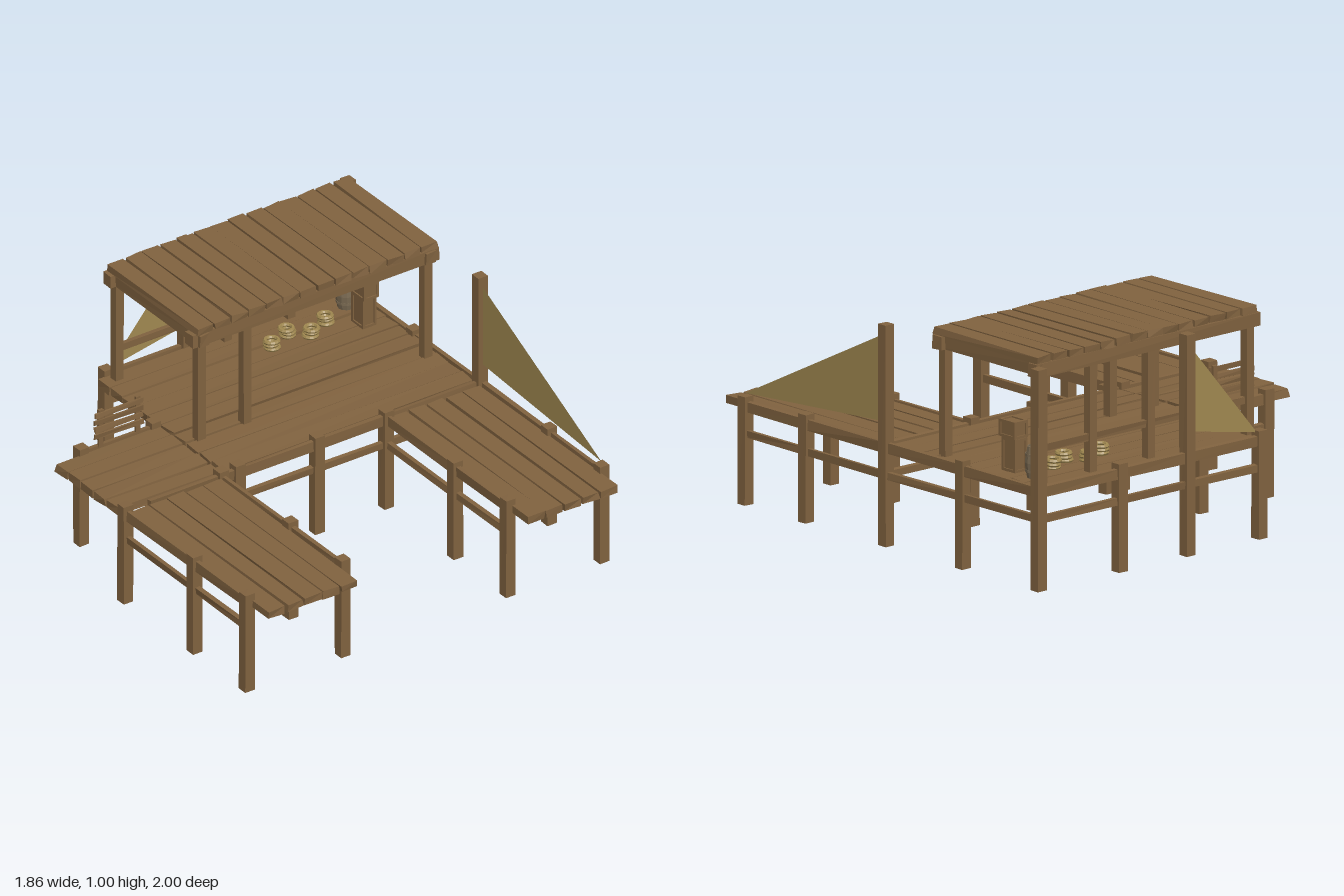
import * as THREE from 'three';

const wood = new THREE.MeshStandardMaterial({ color: 0x80623f, flatShading: true });
const barrelWood = new THREE.MeshStandardMaterial({ color: 0x7a6a52, flatShading: true });
const rope = new THREE.MeshStandardMaterial({ color: 0xa08850, flatShading: true });
const cloth = new THREE.MeshStandardMaterial({ color: 0xa08850, flatShading: true, side: THREE.DoubleSide });

export function createModel() {
  const model = new THREE.Group();

  let seed = 7;
  const rand = () => {
    seed = (seed * 16807) % 2147483647;
    return (seed / 2147483647) * 2 - 1;
  };

  const group = (name) => {
    const g = new THREE.Group();
    g.name = name;
    model.add(g);
    return g;
  };

  // Rough-sawn box: each of the eight corners is nudged a little
  function bar(parent, name, [x, y, z], [w, h, d], rough = 0.003) {
    const geo = new THREE.BoxGeometry(w, h, d);
    const nudges = Array.from({ length: 8 }, () => [rand() * rough, rand() * rough * 0.7, rand() * rough]);
    const p = geo.attributes.position;
    for (let i = 0; i < p.count; i++) {
      const n = nudges[(p.getX(i) > 0 ? 1 : 0) + (p.getY(i) > 0 ? 2 : 0) + (p.getZ(i) > 0 ? 4 : 0)];
      p.setXYZ(i, p.getX(i) + n[0], p.getY(i) + n[1], p.getZ(i) + n[2]);
    }
    geo.computeVertexNormals();
    const mesh = new THREE.Mesh(geo, wood);
    mesh.name = name;
    mesh.position.set(x, y, z);
    parent.add(mesh);
    return mesh;
  }

  // Row of boards filling a rectangle, running along x or z
  function planks(parent, along, count, [x0, x1], [z0, z1], y, thick) {
    const alongX = along === 'x';
    const pitch = (alongX ? z1 - z0 : x1 - x0) / count;
    for (let i = 0; i < count; i++) {
      const c = (alongX ? z0 : x0) + (i + 0.5) * pitch;
      const width = pitch - 0.009;
      const yy = y + rand() * 0.002;
      if (alongX) bar(parent, 'plank', [(x0 + x1) / 2, yy, c], [x1 - x0, thick, width], 0.005);
      else bar(parent, 'plank', [c, yy, (z0 + z1) / 2], [width, thick, z1 - z0], 0.005);
    }
  }

  // Decks and piers
  planks(group('mainDeck'), 'x', 10, [-0.39, 0.89], [-0.96, -0.04], 0.424, 0.036);
  planks(group('sideDeck'), 'x', 5, [-0.93, -0.405], [-0.5, -0.04], 0.424, 0.036);
  planks(group('leftPier'), 'z', 5, [0.43, 0.893], [0, 1], 0.422, 0.034);
  planks(group('rightPier'), 'z', 5, [-0.9, -0.437], [0, 1], 0.422, 0.034);

  // Piles, two of them tall enough to carry sails, one at the back corner
  const piles = group('piles');
  const pile = (x, z, top = 0.47) => bar(piles, 'pile', [x, top / 2, z], [0.048, top, 0.048], 0.001);
  for (const x of [-0.91, -0.42, 0.425, 0.905]) {
    for (const z of [0.86, 0.48]) pile(x, z);
    pile(x, -0.02, x === 0.905 ? 0.96 : 0.47);
  }
  for (const x of [-0.335, 0.07]) pile(x, -0.02);
  for (const x of [-0.79, -0.42]) pile(x, -0.51);
  pile(0.905, -0.5);
  for (const x of [-0.335, 0.45]) pile(x, -0.975);
  for (const x of [0.07, 0.905]) pile(x, -0.975, 0.96);

  // Edge beams and lower braces, span by span between piles
  const beams = group('beams');
  function spans(along, stops, fixed) {
    for (let i = 0; i < stops.length - 1; i++) {
      const mid = (stops[i] + stops[i + 1]) / 2, len = Math.abs(stops[i + 1] - stops[i]);
      for (const [name, y, h] of [['edgeBeam', 0.425, 0.046], ['lowerBrace', 0.307, 0.032]]) {
        if (along === 'x') bar(beams, name, [mid, y, fixed], [len, h, 0.02]);
        else bar(beams, name, [fixed, y, mid], [0.02, h, len]);
      }
    }
  }
  for (const x of [-0.91, -0.42, 0.425]) spans('z', [0.86, 0.48, -0.02], x);
  spans('z', [0.86, 0.48, -0.02, -0.5, -0.975], 0.908);
  spans('x', [-0.79, -0.335, 0.07, 0.425, 0.905], -0.02);
  spans('x', [-0.335, 0.07, 0.45, 0.905], -0.978);
  spans('x', [-0.79, -0.42], -0.512);

  // Shelter: posts, roof frame, back rail and roof boards
  const shelter = group('shelter');
  const roofPost = (x, z) => bar(shelter, 'roofPost', [x, 0.67, z], [0.04, 0.5, 0.04], 0.001);
  for (const x of [-0.32, -0.085, 0.84]) roofPost(x, -0.32);
  for (const x of [-0.32, 0.235, 0.56, 0.84]) roofPost(x, -0.915);
  for (const z of [-0.32, -0.915]) bar(shelter, 'roofBeam', [0.26, 0.936, z], [1.26, 0.058, 0.055]);
  for (const x of [-0.32, 0.84]) bar(shelter, 'roofSideBeam', [x, 0.936, -0.61], [0.05, 0.055, 0.66]);
  bar(shelter, 'backRail', [0.26, 0.592, -0.915], [1.16, 0.032, 0.02]);
  planks(shelter, 'z', 14, [-0.355, 0.885], [-0.94, -0.29], 0.981, 0.032);

  // Short fence panel on the side deck
  const fence = group('fencePanel');
  for (const x of [-0.695, -0.505]) bar(fence, 'fencePost', [x, 0.53, -0.505], [0.023, 0.18, 0.014], 0.001);
  for (const y of [0.5, 0.533, 0.567, 0.6]) bar(fence, 'fenceBoard', [-0.608, y, -0.495], [0.245, 0.022, 0.01], 0.004);

  // Triangular sails
  function sail(corners) {
    const geo = new THREE.BufferGeometry();
    geo.setAttribute('position', new THREE.Float32BufferAttribute(corners.flat(), 3));
    geo.computeVertexNormals();
    const mesh = new THREE.Mesh(geo, cloth);
    mesh.name = 'sail';
    model.add(mesh);
  }
  sail([[0.905, 0.92, -0.02], [0.905, 0.535, -0.02], [0.905, 0.48, 0.86]]);
  sail([[0.07, 0.92, -0.975], [0.07, 0.535, -0.975], [-0.32, 0.46, -0.975]]);

  // Stacked crates with raised corner frames
  function crate(x, y, z, w, h, d) {
    const g = group('crate');
    bar(g, 'crateBody', [x, y + h / 2, z], [w - 0.012, h - 0.012, d - 0.012], 0);
    const t = 0.012;
    for (const a of [-1, 1]) for (const b of [-1, 1]) {
      const px = x + a * (w - t) / 2, pz = z + b * (d - t) / 2;
      const py = y + h / 2 + a * (h - t) / 2;
      bar(g, 'crateUpright', [px, y + h / 2, pz], [t, h, t], 0);
      bar(g, 'crateSlat', [x, py, pz], [w, t, t], 0);
      bar(g, 'crateSlat', [x + b * (w - t) / 2, py, z], [t, t, d], 0);
    }
  }
  crate(0.785, 0.44, -0.69, 0.07, 0.145, 0.085);
  crate(0.782, 0.585, -0.68, 0.076, 0.075, 0.1);

  // Barrel with hoops
  const barrel = group('barrel');
  barrel.position.set(0.8, 0.44, -0.84);
  const profile = [[0, 0], [0.036, 0], [0.044, 0.04], [0.047, 0.07], [0.044, 0.1], [0.036, 0.14], [0.032, 0.14], [0.032, 0.134], [0, 0.134]];
  const staves = new THREE.Mesh(new THREE.LatheGeometry(profile.map(([r, y]) => new THREE.Vector2(r, y)), 12), barrelWood);
  staves.name = 'barrelStaves';
  barrel.add(staves);
  for (const y of [0.035, 0.105]) {
    const hoop = new THREE.Mesh(new THREE.CylinderGeometry(0.0455, 0.0455, 0.01, 12), barrelWood);
    hoop.name = 'barrelHoop';
    hoop.position.y = y;
    barrel.add(hoop);
  }

  // Coils of rope on the deck
  [[0.35, -0.74], [0.46, -0.79], [0.54, -0.73], [0.65, -0.78]].forEach(([x, z]) => {
    const coil = group('ropeCoil');
    coil.position.set(x, 0.45, z);
    for (let i = 0; i < 3; i++) {
      const loop = new THREE.Mesh(new THREE.TorusGeometry(0.029 - 0.002 * (i % 2), 0.009, 6, 14), rope);
      loop.name = 'ropeLoop';
      loop.rotation.x = Math.PI / 2 + rand() * 0.12;
      loop.position.set(rand() * 0.004, i * 0.015, rand() * 0.004);
      coil.add(loop);
    }
  });

  return model;
}
